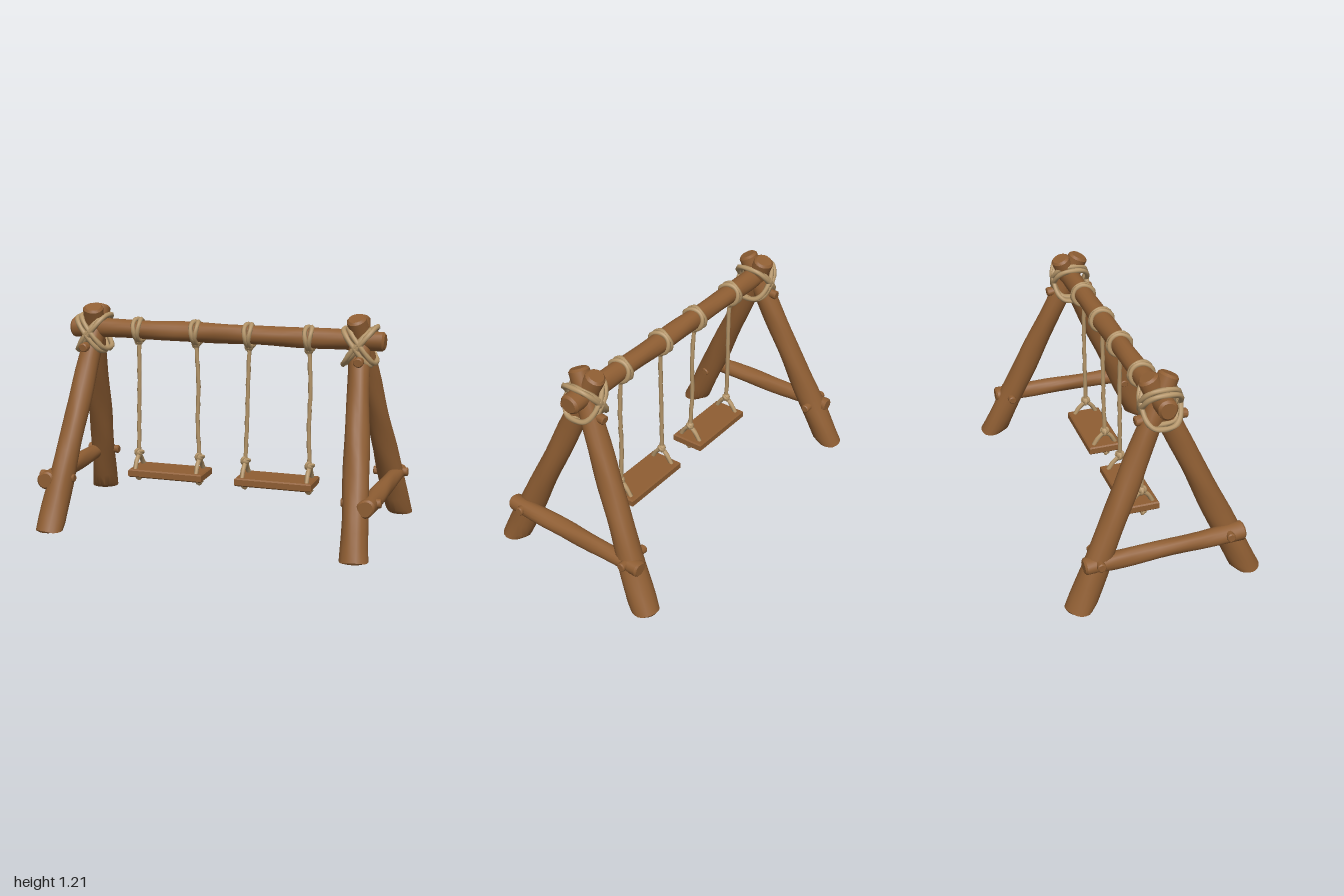
import * as THREE from 'three';
import { mergeVertices, toCreasedNormals } from 'three/addons/utils/BufferGeometryUtils.js';

const V = (x, y, z) => new THREE.Vector3(x, y, z);
const wood = new THREE.MeshStandardMaterial({ color: 0x8f5e33 });
wood.name = 'wood';
const ropeFibre = new THREE.MeshStandardMaterial({ color: 0xb39468 });
ropeFibre.name = 'rope fibre';

export function createModel() {
  const model = new THREE.Group();
  model.name = 'swingSet';

  function add(parent, name, geometry, material) {
    const mesh = new THREE.Mesh(geometry, material);
    mesh.name = name;
    parent.add(mesh);
    return mesh;
  }

  // Rough round log from a to b with softened ends; anything below ground is cut flat
  function log(parent, name, a, b, ra, rb, wobble = 0.004, seed = 0) {
    const len = a.distanceTo(b);
    const bevel = Math.min(ra, rb) * 0.22;
    const profile = [new THREE.Vector2(0, 0), new THREE.Vector2(ra - bevel, 0), new THREE.Vector2(ra, bevel)];
    const rings = Math.max(2, Math.round(len / 0.08));
    for (let i = 1; i < rings; i++) {
      const t = i / rings;
      profile.push(new THREE.Vector2(ra + (rb - ra) * t, bevel + (len - 2 * bevel) * t));
    }
    profile.push(new THREE.Vector2(rb, len - bevel), new THREE.Vector2(rb - bevel, len), new THREE.Vector2(0, len));
    let geo = new THREE.LatheGeometry(profile, 18);
    const p = geo.attributes.position;
    const turn = new THREE.Quaternion().setFromUnitVectors(V(0, 1, 0), b.clone().sub(a).normalize());
    for (let i = 0; i < p.count; i++) {
      const v = V().fromBufferAttribute(p, i);
      const ang = Math.atan2(v.z, v.x);
      const r = Math.hypot(v.x, v.z);
      if (r > 1e-5) {
        const k = 1 + wobble / ra * (Math.sin(2 * ang + v.y * 9 + seed) + 0.6 * Math.sin(3 * ang - v.y * 15 + seed * 2));
        v.x *= k;
        v.z *= k;
      }
      v.applyQuaternion(turn).add(a);
      p.setXYZ(i, v.x, Math.max(0, v.y), v.z);
    }
    geo.deleteAttribute('uv');
    geo.deleteAttribute('normal');
    geo = toCreasedNormals(mergeVertices(geo, 1e-5), 0.6);
    return add(parent, name, geo, wood);
  }

  // Twisted rope along a curve
  function rope(parent, name, points, r, closed = false) {
    const curve = new THREE.CatmullRomCurve3(points, closed);
    const segs = Math.max(8, Math.round(curve.getLength() / 0.009));
    const sides = 9;
    const geo = new THREE.TubeGeometry(curve, segs, r, sides, closed);
    const p = geo.attributes.position, n = geo.attributes.normal;
    const turns = Math.round(segs / 12);
    for (let i = 0; i < p.count; i++) {
      const along = Math.floor(i / (sides + 1)) / segs;
      const ang = (i % (sides + 1)) / sides * Math.PI * 2;
      const d = r * 0.13 * Math.sin(3 * ang + along * turns * Math.PI * 2);
      p.setXYZ(i, p.getX(i) + n.getX(i) * d, p.getY(i) + n.getY(i) * d, p.getZ(i) + n.getZ(i) * d);
    }
    return add(parent, name, geo, ropeFibre);
  }

  // Lumpy knot: a core wrapped by a knotted strand
  function knot(parent, name, at, size) {
    const g = new THREE.Group();
    g.name = name;
    g.position.copy(at);
    add(g, 'knotCore', new THREE.SphereGeometry(size * 0.75, 12, 8), ropeFibre);
    const strand = add(g, 'knotStrand', new THREE.TorusKnotGeometry(size * 0.52, size * 0.3, 48, 7, 2, 3), ropeFibre);
    strand.rotation.set(0.5, 0.4, 0);
    parent.add(g);
  }

  // Top beam
  log(model, 'topBeam', V(-0.9, 1.065, -0.004), V(0.9, 1.065, -0.004), 0.054, 0.054, 0.0025, 1);

  // Two A-frames
  for (const s of [-1, 1]) {
    const frame = new THREE.Group();
    frame.name = s > 0 ? 'leftFrame' : 'rightFrame';
    model.add(frame);

    // Legs crossing at the beam
    log(frame, 'frontLeg', V(s * 0.858, -0.03, 0.485), V(s * 0.748, 1.185, -0.064), 0.075, 0.055, 0.003, 2 + s);
    log(frame, 'backLeg', V(s * 0.925, -0.03, -0.485), V(s * 0.75, 1.19, 0.052), 0.075, 0.055, 0.003, 4 + s);

    // Low brace and its pegs
    log(frame, 'brace', V(s * 0.898, 0.265, 0.43), V(s * 0.918, 0.25, -0.45), 0.049, 0.044, 0.003, 6);
    log(frame, 'frontBracePeg', V(s * 0.755, 0.268, 0.345), V(s * 0.965, 0.276, 0.338), 0.024, 0.024, 0.001);
    log(frame, 'backBracePeg', V(s * 0.785, 0.262, -0.37), V(s * 0.982, 0.266, -0.37), 0.024, 0.024, 0.001);

    // Upper pegs
    for (const z of [1, -1]) {
      log(frame, z > 0 ? 'frontUpperPeg' : 'backUpperPeg',
        V(s * 0.78, 0.975, z * 0.04), V(s * 0.782, 0.966, z * 0.138), 0.026, 0.026, 0.001);
    }

    // Crossed lashing around the joint
    for (const tilt of [-1, 1]) {
      for (const shift of [-0.014, 0.014]) {
        const pts = [];
        for (let i = 0; i < 16; i++) {
          const a = i / 16 * Math.PI * 2;
          const c = Math.cos(a), q = Math.sin(a);
          const z = Math.sign(c) * Math.abs(c) ** 0.65 * 0.1;
          const y = 1.043 + q * (q > 0 ? 0.09 : 0.1) + shift * 0.5;
          pts.push(V(s * 0.766 + tilt * 0.072 * q + shift, y, z));
        }
        rope(frame, 'lashing', pts, 0.014, true);
      }
    }
  }

  // Two swings, each hung from two ropes
  const swings = [
    { name: 'rightSwing', seat: -0.317, ropes: [[-0.497, -0.503], [-0.157, -0.138]] },
    { name: 'leftSwing', seat: 0.313, ropes: [[0.15, 0.132], [0.488, 0.5]] },
  ];
  for (const swing of swings) {
    const g = new THREE.Group();
    g.name = swing.name;
    model.add(g);

    // Plank seat with chamfered edges
    const w = 0.212, d = 0.09;
    const outline = new THREE.Shape([
      new THREE.Vector2(-w, -d), new THREE.Vector2(w, -d), new THREE.Vector2(w, d), new THREE.Vector2(-w, d)]);
    const plank = new THREE.ExtrudeGeometry(outline, {
      depth: 0.032, bevelEnabled: true, bevelSize: 0.007, bevelThickness: 0.007, bevelSegments: 1 });
    plank.rotateX(-Math.PI / 2);
    add(g, 'seat', plank, wood).position.set(swing.seat, 0.237, 0.002);

    for (const [top, low] of swing.ropes) {
      // Loops round the beam
      for (const dx of [-0.012, 0.012]) {
        const pts = [];
        for (let i = 0; i < 12; i++) {
          const a = i / 12 * Math.PI * 2;
          pts.push(V(top + dx * (1 + 0.5 * Math.sin(a * 2)), 1.063 + 0.06 * Math.sin(a), -0.004 + 0.06 * Math.cos(a)));
        }
        rope(g, 'beamLoop', pts, 0.0125, true);
      }
      knot(g, 'upperKnot', V(top, 1.0, 0), 0.029);

      // Hanging rope
      const mid = (top + low) / 2;
      rope(g, 'hangingRope', [V(top, 1.0, 0), V(mid + 0.003, 0.78, 0.002), V(mid - 0.002, 0.56, 0.003), V(low, 0.355, 0.008)], 0.0115);
      knot(g, 'lowerKnot', V(low, 0.355, 0.008), 0.03);

      // Forked ends reaching the seat
      for (const z of [-1, 1]) {
        rope(g, 'forkedRope', [V(low, 0.35, 0.008), V(low, 0.315, 0.008 + z * 0.038), V(low, 0.265, 0.005 + z * 0.068)], 0.0125);
      }
      // Knot under the seat
      knot(g, 'seatKnot', V(low, 0.216, 0.015), 0.024);
    }
  }
  return model;
}
